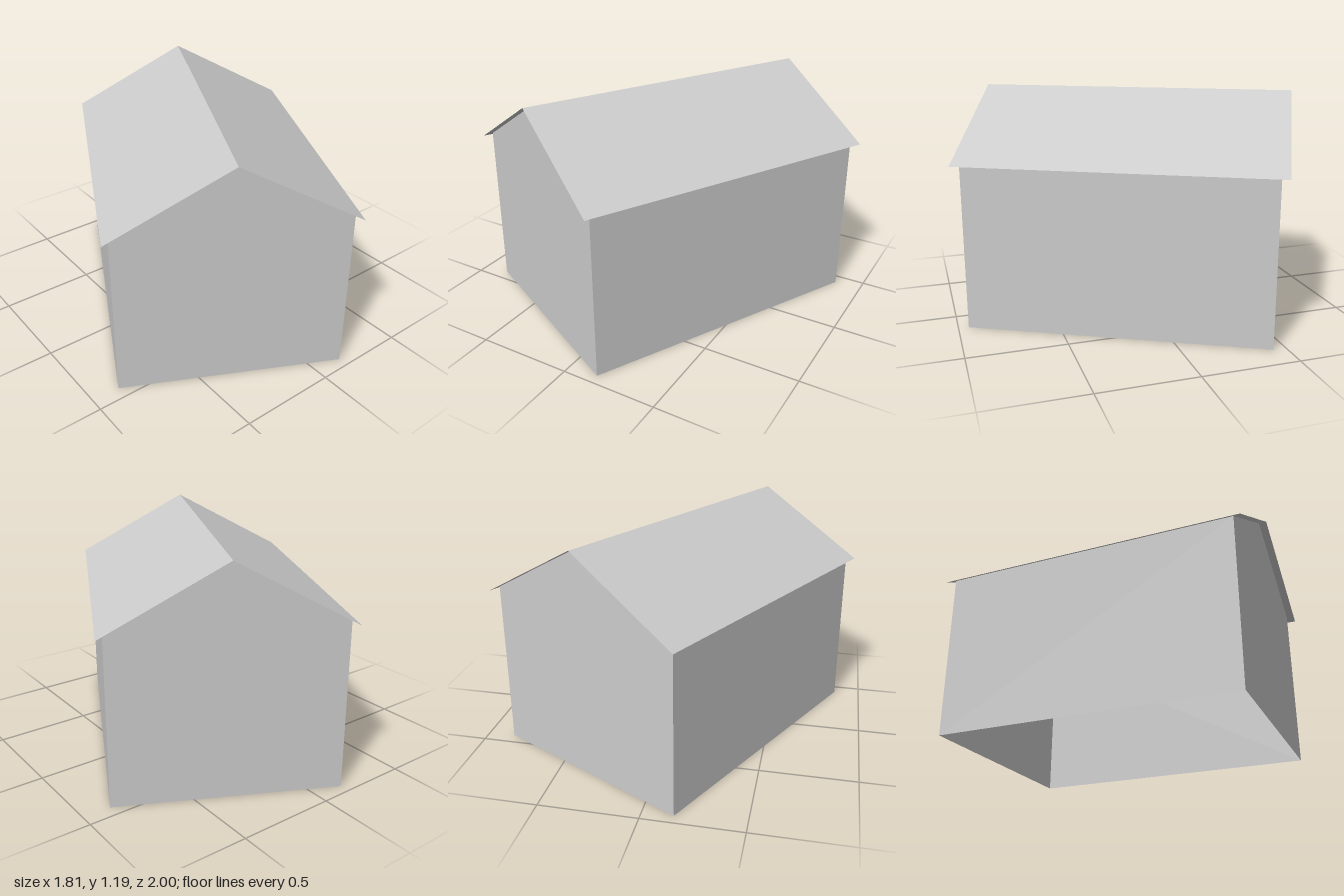
import * as THREE from 'three';

export function createModel() {
  const model = new THREE.Group();
  const house = new THREE.Group();
  house.name = 'house';
  house.rotation.y = -0.471; // the house stands at an angle to the axes
  model.add(house);

  const grey = new THREE.MeshStandardMaterial({ color: 0xcccccc, side: THREE.DoubleSide });
  grey.name = 'light grey';

  // Half widths and half lengths, then heights
  const wallX = 0.568, wallZ = 0.775, roofX = 0.601, roofZ = 0.815;
  const eaveY = 0.855, ridgeY = 1.185;
  const pitch = Math.atan2(ridgeY - eaveY, roofX);
  const wallY = ridgeY - wallX * Math.tan(pitch);

  const add = (name, geometry) => {
    const mesh = new THREE.Mesh(geometry, grey);
    mesh.name = name;
    house.add(mesh);
    return mesh;
  };

  // End walls with their gables, outline of five corners
  const outline = new THREE.Shape([
    [-wallX, 0], [wallX, 0], [wallX, wallY], [0, ridgeY], [-wallX, wallY],
  ].map(([x, y]) => new THREE.Vector2(x, y)));
  for (const [side, name] of [[1, 'frontGableWall'], [-1, 'backGableWall']]) {
    const wall = add(name, new THREE.ShapeGeometry(outline));
    wall.position.z = side * wallZ;
    if (side < 0) wall.rotation.y = Math.PI;
  }

  // Long walls and the thin roof slopes that overhang them
  const slope = Math.hypot(roofX, ridgeY - eaveY);
  for (const [side, label] of [[1, 'left'], [-1, 'right']]) {
    const wall = add(label + 'Wall', new THREE.PlaneGeometry(2 * wallZ, wallY));
    wall.rotation.y = side * Math.PI / 2;
    wall.position.set(side * wallX, wallY / 2, 0);

    const roof = add(label + 'RoofSlope', new THREE.PlaneGeometry(slope, 2 * roofZ).rotateX(-Math.PI / 2));
    roof.rotation.z = -side * pitch;
    roof.position.set(side * roofX / 2, (eaveY + ridgeY) / 2, 0);
  }

  // Flat ceiling, seen through the open underside
  const ceiling = add('ceiling', new THREE.PlaneGeometry(2 * wallX, 2 * wallZ).rotateX(Math.PI / 2));
  ceiling.position.y = wallY;

  return model;
}
